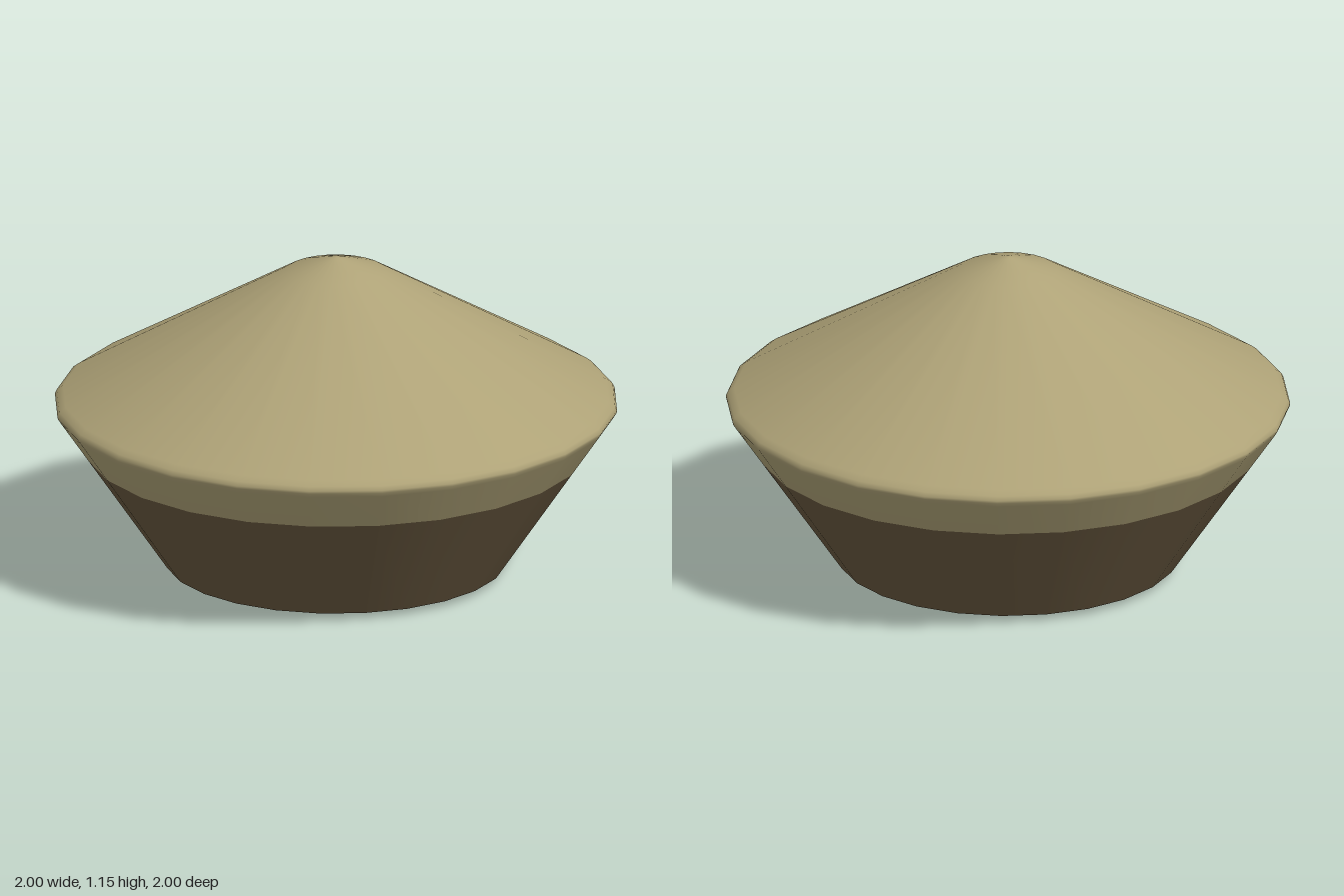
import * as THREE from 'three';

const SIDES = 24;

export function createModel() {
  const group = new THREE.Group();

  const tan = new THREE.MeshStandardMaterial({ color: 0xaea277 });
  tan.name = 'tan';
  const brown = new THREE.MeshStandardMaterial({ color: 0x68583f });
  brown.name = 'brown';

  function add(name, geometry, material) {
    const mesh = new THREE.Mesh(geometry, material);
    mesh.name = name;
    group.add(mesh);
    return mesh;
  }

  // Turned part from [radius, height] pairs, listed from bottom to top
  function turned(name, profile, material) {
    const points = profile.map(([r, y]) => new THREE.Vector2(r, y));
    return add(name, new THREE.LatheGeometry(points, SIDES), material);
  }

  // Flat underside and tapered lower wall, kept apart for a sharp edge
  turned('baseUnderside', [[0, 0.025], [0.605, 0.025]], brown);
  turned('baseWall', [[0.605, 0.025], [0.891, 0.445]], brown);

  // Upper band, rounded rim and shallow cone with a blunt tip
  turned('upperShell', [
    [0.891, 0.445], [0.988, 0.587], [0.998, 0.603], [1, 0.613],
    [0.993, 0.628], [0.97, 0.645],
    [0.175, 1.105], [0.02, 1.153], [0, 1.155],
  ], tan);

  // Three small feet, evenly spaced
  for (let i = 0; i < 3; i++) {
    const angle = Math.PI + (i * Math.PI * 2) / 3;
    const foot = add('foot', new THREE.CylinderGeometry(0.03, 0.03, 0.03, 16), tan);
    foot.position.set(Math.sin(angle) * 0.51, 0.015, Math.cos(angle) * 0.51);
  }

  return group;
}
